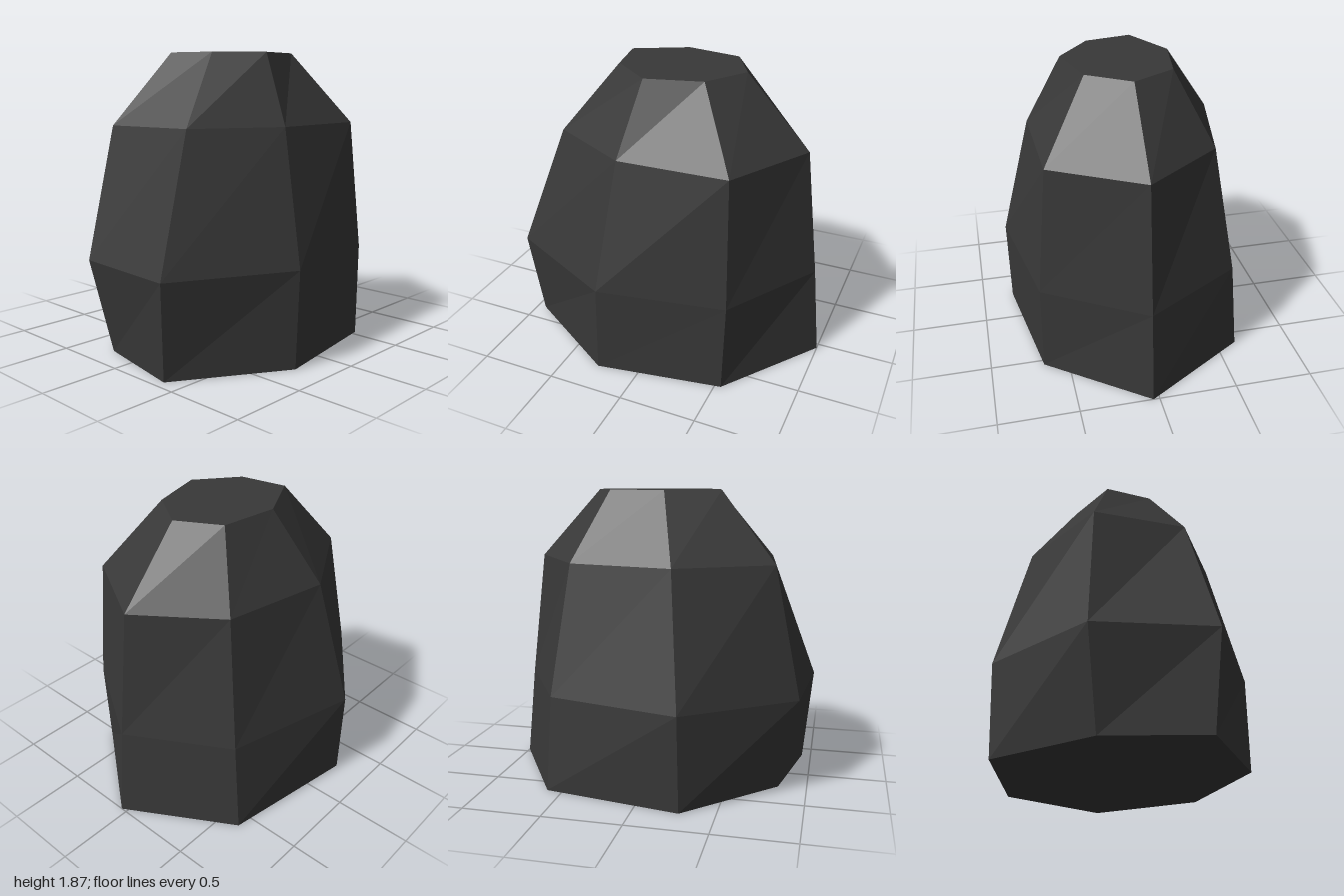
import * as THREE from 'three';

// Seven-sided rings, [x, z] per corner, running from the front towards +x
const RINGS = [
  { y: 0.0, pts: [[-0.27, 0.79], [0.54, 0.66], [1.0, 0.04], [0.6, -0.63], [-0.28, -0.78], [-0.82, -0.24], [-0.94, 0.37]] },
  { y: 0.6, pts: [[-0.25, 0.8], [0.56, 0.66], [0.94, 0.04], [0.58, -0.58], [-0.27, -0.8], [-0.94, -0.31], [-1.0, 0.42]] },
  { y: 1.425, pts: [[-0.17, 0.61], [0.53, 0.59], [0.84, 0.04], [0.48, -0.45], [-0.19, -0.59], [-0.77, -0.26], [-0.7, 0.32]] },
  { y: 1.87, pts: [[-0.09, 0.39], [0.26, 0.3], [0.43, 0.04], [0.28, -0.23], [-0.08, -0.29], [-0.41, -0.12], [-0.35, 0.18]] },
];

function rockGeometry(rings) {
  const n = rings[0].pts.length;
  const last = rings.length - 1;
  const positions = [];
  const corner = (r, i) => {
    const [x, z] = rings[r].pts[i % n];
    return [x, rings[r].y, z];
  };
  const tri = (a, b, c) => positions.push(...a, ...b, ...c);

  // Side facets, each split from lower left to upper right
  for (let r = 0; r < last; r++) {
    for (let i = 0; i < n; i++) {
      tri(corner(r, i), corner(r, i + 1), corner(r + 1, i + 1));
      tri(corner(r, i), corner(r + 1, i + 1), corner(r + 1, i));
    }
  }
  // Flat top and underside
  for (let i = 1; i < n - 1; i++) {
    tri(corner(last, 0), corner(last, i), corner(last, i + 1));
    tri(corner(0, 0), corner(0, i + 1), corner(0, i));
  }

  const geometry = new THREE.BufferGeometry();
  geometry.setAttribute('position', new THREE.Float32BufferAttribute(positions, 3));
  geometry.computeVertexNormals(); // unshared corners give flat facets
  return geometry;
}

export function createModel() {
  const group = new THREE.Group();
  group.name = 'rock';

  const darkStone = new THREE.MeshStandardMaterial({ color: 0x383838, flatShading: true });
  darkStone.name = 'dark stone';

  const boulder = new THREE.Mesh(rockGeometry(RINGS), darkStone);
  boulder.name = 'boulder';
  group.add(boulder);
  return group;
}
